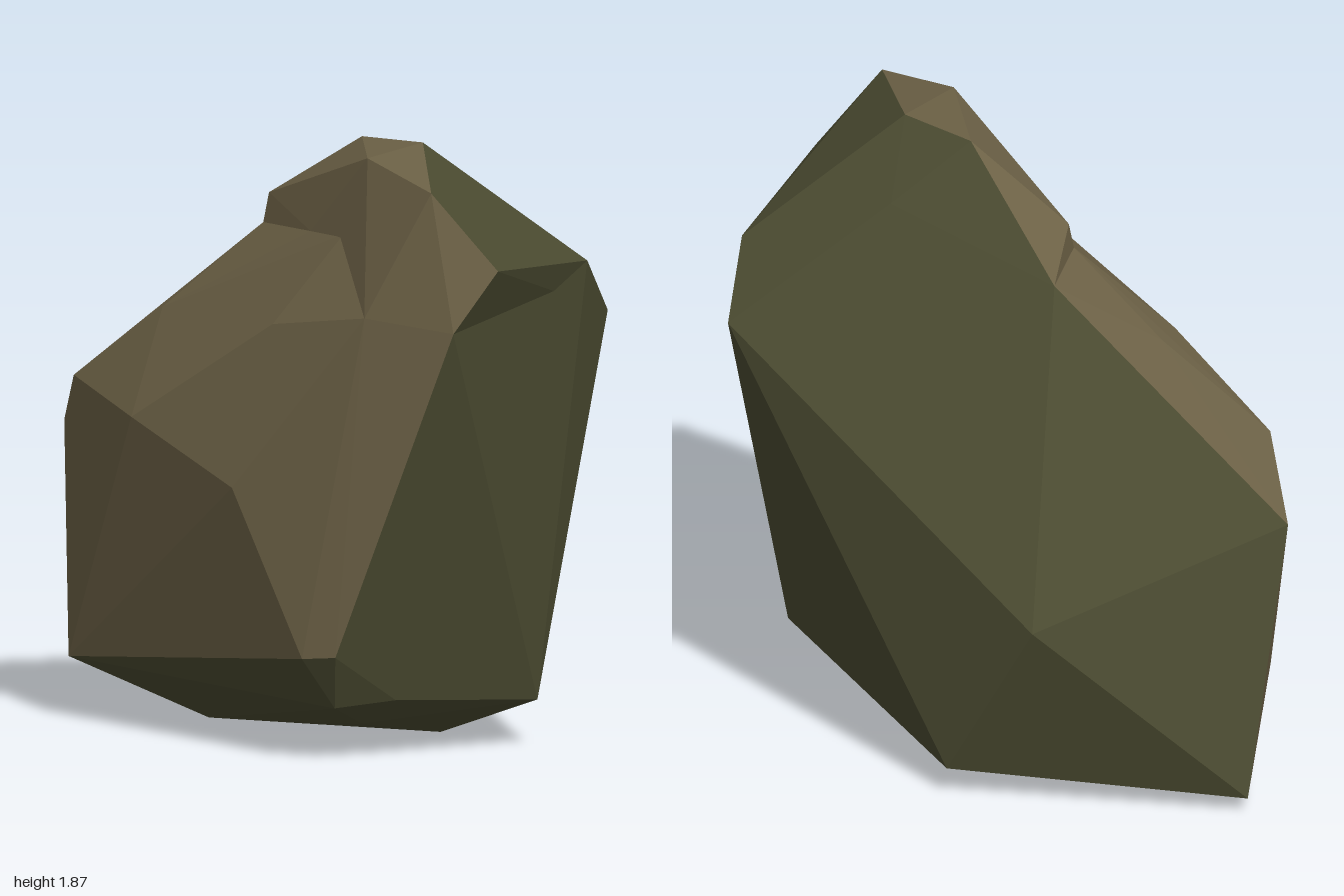
import * as THREE from 'three';
import { ConvexGeometry } from 'three/addons/geometries/ConvexGeometry.js';

const earth = new THREE.MeshStandardMaterial({ color: 0x6b6045 });
earth.name = 'brown stone';
const moss = new THREE.MeshStandardMaterial({ color: 0x4b4b31 });
moss.name = 'olive stone';

// Corners shared by the body and the summit
const shoulder = [
  [-0.2, 1.54, -0.16], [-0.13, 1.57, 0.07], [0.22, 1.6, 0.3], [0.42, 1.62, 0.4],
  [0.65, 1.4, 0.605], [0.93, 1.365, 0.52], [0.88, 1.5, -0.25], [0.4, 1.68, -0.15],
  [0.79, 1.31, -0.48],
];

const bodyCorners = [
  ...shoulder,
  // sloping left ridge
  [-0.45, 1.33, 0.07], [-0.4, 1.3, 0.23], [-0.77, 1.05, 0.19], [-0.975, 0.865, -0.04],
  // front face
  [-0.3, 1.0, 0.53], [0.25, 1.34, 0.54], [0.2, 0.84, 0.685],
  [0.48, 0.33, 0.7], [0.59, 0.34, 0.675], [-0.68, 0.195, 0.34],
  // right foot
  [0.65, 0.185, 0.44], [0.835, 0.145, -0.05], [0.54, 0.17, 0.61],
  // underside
  [0.52, 0.1, 0.44], [0.5, 0.02, 0], [-0.2, 0.035, 0.26], [-0.66, 0.005, -0.16],
  // back
  [-1, 0.05, -0.32], [-0.45, 0.62, -0.7], [-0.13, 0.09, -0.685],
];

const summitCorners = [
  ...shoulder,
  [-0.13, 1.66, 0.04], [0.22, 1.865, 0.03], [0.49, 1.875, 0.08],
  [0.49, 1.86, 0.37], [0.83, 1.795, 0.5], [0.995, 1.55, 0.375],
];

// Front and left facets are brown; back, right and underside are olive
function isEarth(n) {
  return n.y > -0.2 && -0.35 * n.x + 0.6 * n.y + 0.9 * n.z > 0.2;
}

// Faceted hull, split into one mesh for each colour
function rock(name, corners) {
  const group = new THREE.Group();
  group.name = name;
  const hull = new ConvexGeometry(corners.map((c) => new THREE.Vector3(...c)));
  const pos = hull.getAttribute('position');
  const facets = { earth: [], moss: [] };
  const tri = new THREE.Triangle();
  const normal = new THREE.Vector3();
  for (let i = 0; i < pos.count; i += 3) {
    tri.setFromAttributeAndIndices(pos, i, i + 1, i + 2);
    tri.getNormal(normal);
    const list = isEarth(normal) ? facets.earth : facets.moss;
    list.push(tri.a.clone(), tri.b.clone(), tri.c.clone());
  }
  for (const [key, material] of [['earth', earth], ['moss', moss]]) {
    const geometry = new THREE.BufferGeometry().setFromPoints(facets[key]);
    geometry.computeVertexNormals();
    const mesh = new THREE.Mesh(geometry, material);
    mesh.name = `${name} ${material.name}`;
    group.add(mesh);
  }
  return group;
}

export function createModel() {
  const model = new THREE.Group();
  model.name = 'boulder';
  model.add(rock('body', bodyCorners), rock('summit', summitCorners));
  return model;
}
